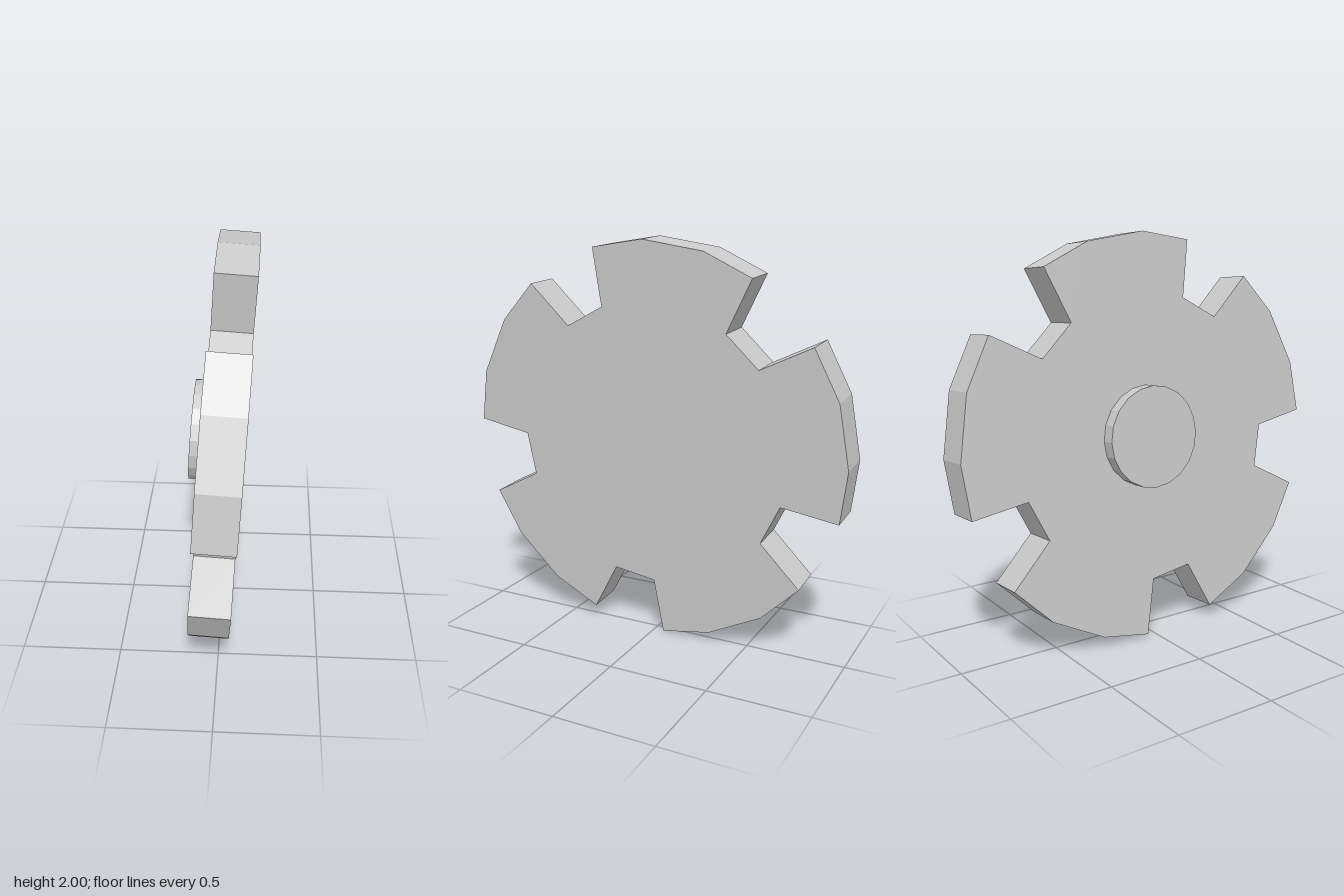
import * as THREE from 'three';

const TILT = 0.063;       // lean of the whole wheel towards +x
const THICKNESS = 0.19;
const RADIUS = 0.998;
const SLOTS = 5;

// One lobe as [degrees from the top, radius]: rim corners, then the tapered slot floor
const LOBE = [
  [15.5, 0.995], [0, RADIUS], [-18, RADIUS], [-33, 0.997],
  [-35.5, 0.715], [-53.3, 0.715],
];

function slottedOutline() {
  const points = [];
  for (let i = 0; i < SLOTS; i++) {
    for (const [degrees, r] of LOBE) {
      const a = THREE.MathUtils.degToRad(degrees - (i * 360) / SLOTS);
      points.push(new THREE.Vector2(-Math.sin(a) * r, Math.cos(a) * r));
    }
  }
  return new THREE.Shape(points);
}

export function createModel() {
  const material = new THREE.MeshStandardMaterial({ color: 0xcccccc, flatShading: true });
  const wheel = new THREE.Group();
  wheel.name = 'slottedWheel';

  // Thick 20-sided disc with five slots, axis along x
  const discGeometry = new THREE.ExtrudeGeometry(slottedOutline(), {
    depth: THICKNESS, bevelEnabled: false,
  });
  discGeometry.translate(0, 0, -THICKNESS / 2);
  discGeometry.rotateY(Math.PI / 2);
  const disc = new THREE.Mesh(discGeometry, material);
  disc.name = 'slottedDisc';
  wheel.add(disc);

  // Low round hub on the -x face, sunk slightly into the disc
  const hubOut = 0.067, hubSunk = 0.02;
  const hubGeometry = new THREE.CylinderGeometry(0.25, 0.25, hubOut + hubSunk, 20);
  hubGeometry.rotateZ(Math.PI / 2);
  const hub = new THREE.Mesh(hubGeometry, material);
  hub.name = 'hub';
  hub.position.set(-THICKNESS / 2 - (hubOut - hubSunk) / 2, 0.015, -0.015);
  wheel.add(hub);

  wheel.rotation.z = -TILT;
  wheel.position.set(0.008, 1, 0);

  const model = new THREE.Group();
  model.name = 'model';
  model.add(wheel);
  return model;
}
